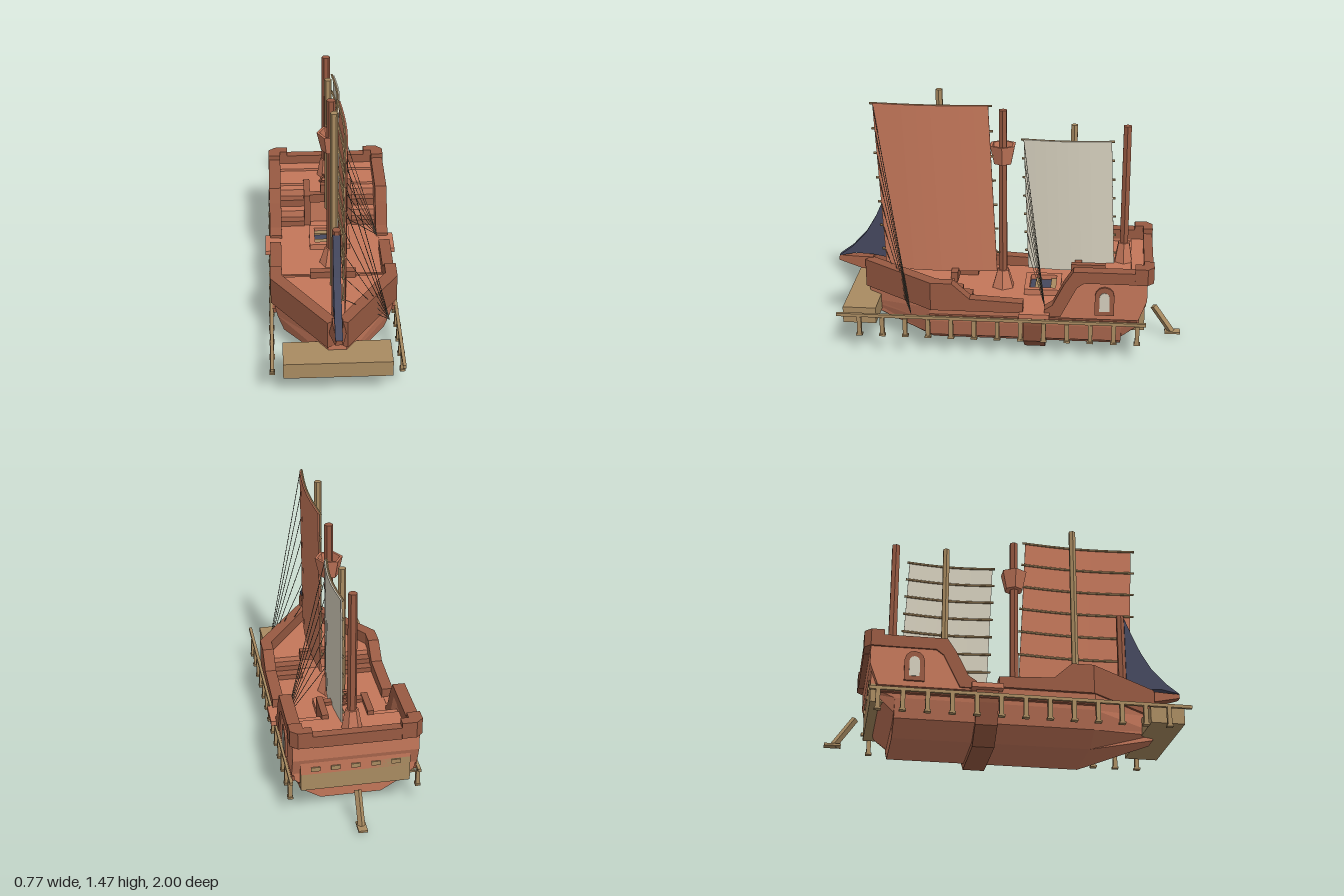
import * as THREE from 'three';

const mat = (name, color, side = THREE.FrontSide) => {
  const m = new THREE.MeshStandardMaterial({ color, side });
  m.name = name;
  return m;
};

export function createModel() {
  const ship = new THREE.Group();
  ship.name = 'sailingShip';
  const clay = mat('light brown wood', 0xc4775a);
  const dark = mat('dark brown wood', 0x985a42);
  const tan = mat('tan wood', 0xa98b61);
  const cream = mat('cream cloth', 0xd4cebc);
  const navy = mat('navy cloth', 0x45485e);
  const rope = mat('rope', 0x504d42);

  // Faceted normals, with the faces turned outwards
  const solid = (geo) => {
    const g = geo.index ? geo.toNonIndexed() : geo;
    const p = g.attributes.position;
    const a = new THREE.Vector3(), b = new THREE.Vector3(), c = new THREE.Vector3(), t = new THREE.Vector3();
    let vol = 0;
    for (let i = 0; i < p.count; i += 3) {
      a.fromBufferAttribute(p, i); b.fromBufferAttribute(p, i + 1); c.fromBufferAttribute(p, i + 2);
      vol += a.dot(t.crossVectors(b, c));
    }
    if (vol < 0) for (let i = 0; i < p.count; i += 3) {
      b.fromBufferAttribute(p, i + 1); c.fromBufferAttribute(p, i + 2);
      p.setXYZ(i + 1, c.x, c.y, c.z); p.setXYZ(i + 2, b.x, b.y, b.z);
    }
    g.computeVertexNormals();
    return g;
  };
  const add = (name, geo, m) => {
    const mesh = new THREE.Mesh(solid(geo), m);
    mesh.name = name;
    ship.add(mesh);
  };
  const pair = (name, geo, m) => {
    add(name + 'Left', geo.clone(), m);
    add(name + 'Right', geo.clone().scale(-1, 1, 1), m);
  };
  // Box from its limits
  const box = (x0, x1, y0, y1, z0, z1) => new THREE.BoxGeometry(x1 - x0, y1 - y0, z1 - z0)
    .translate((x0 + x1) / 2, (y0 + y1) / 2, (z0 + z1) / 2);
  const prism = (pts, lo, hi) => new THREE.ExtrudeGeometry(
    new THREE.Shape(pts.map(([u, v]) => new THREE.Vector2(u, v))), { depth: hi - lo, bevelEnabled: false }).translate(0, 0, lo);
  const remap = (g, f) => {
    const p = g.attributes.position;
    for (let i = 0; i < p.count; i++) p.setXYZ(i, ...f(p.getX(i), p.getY(i), p.getZ(i)));
    return g;
  };
  // Side profile [z, y] swept over x, and plan [x, z] swept over y
  const sideCut = (pts, x0, x1) => remap(prism(pts, x0, x1), (u, v, w) => [w, v, u]);
  const planCut = (pts, y0, y1) => remap(prism(pts, y0, y1), (u, v, w) => [u, w, v]);
  // Closed skin through equal rings of points
  const loft = (rings) => {
    const n = rings[0].length, idx = [], last = (rings.length - 1) * n;
    for (let r = 0; r < rings.length - 1; r++) for (let i = 0; i < n; i++) {
      const a = r * n + i, b = r * n + (i + 1) % n;
      idx.push(a, b, a + n, b, b + n, a + n);
    }
    for (let i = 1; i < n - 1; i++) idx.push(0, i + 1, i, last, last + i, last + i + 1);
    const g = new THREE.BufferGeometry();
    g.setAttribute('position', new THREE.Float32BufferAttribute(rings.flat(2), 3));
    g.setIndex(idx);
    return g;
  };
  const hullRing = (z, half) => [...half.map(([x, y]) => [x, y, z]), ...half.map(([x, y]) => [-x, y, z]).reverse()];
  const hex = (rTop, rBot, y0, y1, z) => new THREE.CylinderGeometry(rTop, rBot, y1 - y0, 6)
    .rotateY(Math.PI / 6).translate(0, (y0 + y1) / 2, z);
  const rod = (a, b, r, sides = 5) => {
    const A = new THREE.Vector3(...a), d = new THREE.Vector3(...b).sub(A);
    const q = new THREE.Quaternion().setFromUnitVectors(new THREE.Vector3(0, 1, 0), d.clone().normalize());
    const c = A.addScaledVector(d, 0.5);
    return new THREE.CylinderGeometry(r, r, d.length(), sides).applyQuaternion(q).translate(c.x, c.y, c.z);
  };

  // Hull
  const mid = [[0.17, 0.03], [0.285, 0.1], [0.32, 0.2], [0.338, 0.29]];
  add('hull', loft([
    hullRing(-0.75, [[0.22, 0.2], [0.31, 0.215], [0.33, 0.235], [0.338, 0.29]]),
    hullRing(-0.652, [[0.2, 0.1], [0.29, 0.13], [0.32, 0.2], [0.338, 0.29]]),
    hullRing(-0.65, mid), hullRing(0.43, mid),
    hullRing(0.82, [[0.045, 0.15], [0.047, 0.18], [0.05, 0.2], [0.05, 0.29]]),
  ]), clay);
  const rib = [[0.19, 0], [0.3, 0.085], [0.335, 0.2], [0.35, 0.27]];
  add('hullRib', loft([hullRing(-0.22, rib), hullRing(-0.1, rib)]), dark);
  pair('sidePlatform', box(0.3, 0.385, 0.265, 0.293, -0.25, -0.08), clay);

  // Decks
  add('foreDeck', planCut([[0.3, 0.31], [0.3, 0.42], [0.04, 0.8], [-0.04, 0.8], [-0.3, 0.42], [-0.3, 0.31]], 0.285, 0.38), clay);
  add('aftDeck', planCut([[0.3, -0.55], [0.3, -0.78], [-0.3, -0.78], [-0.3, -0.55], [-0.14, -0.55],
    [-0.14, -0.4], [0.14, -0.4], [0.14, -0.55]], 0.28, 0.475), clay);
  pair('aftHullSide', sideCut([[-0.24, 0.26], [-0.3, 0.29], [-0.42, 0.49], [-0.79, 0.49], [-0.79, 0.38], [-0.745, 0.26]], 0.285, 0.345), clay);
  add('transom', sideCut([[-0.7, 0.26], [-0.7, 0.49], [-0.79, 0.49], [-0.79, 0.38], [-0.745, 0.26]], -0.286, 0.286), clay);

  // Bulwarks
  pair('foreBulwark', loft([
    [-0.1, 0.355, 0.29, 0.345], [0.2, 0.355, 0.29, 0.36], [0.3, 0.355, 0.29, 0.45],
    [0.42, 0.355, 0.29, 0.45], [0.84, 0.055, 0, 0.45],
  ].map(([z, xo, xi, y], i) => [[xo, 0.285, z], [xo, y, z], [xi, y, z - (i > 2 ? 0.03 : 0)], [xi, 0.285, z - (i > 2 ? 0.03 : 0)]])), dark);
  pair('aftBulwark', sideCut([[-0.22, 0.27], [-0.22, 0.31], [-0.265, 0.34], [-0.33, 0.47], [-0.38, 0.547],
    [-0.74, 0.547], [-0.74, 0.48], [-0.44, 0.48], [-0.4, 0.45], [-0.31, 0.27]], 0.285, 0.355), dark);
  pair('sternCorner', planCut([[0.285, -0.72], [0.358, -0.72], [0.358, -0.79], [0.32, -0.825], [0.24, -0.825],
    [0.24, -0.77], [0.285, -0.77]], 0.48, 0.575), dark);
  add('sternRail', box(-0.24, 0.24, 0.475, 0.545, -0.822, -0.77), dark);

  // Stairs and deck beams
  for (let i = 0; i < 4; i++)
    pair('aftStep', box(0.145, 0.29, 0.285, 0.325 + i * 0.045, -0.55, -0.35 - i * 0.05), i % 2 ? clay : dark);
  for (let i = 0; i < 2; i++)
    pair('foreStep', box(0.13, 0.29, 0.285, 0.32 + i * 0.03, 0.2 + i * 0.055, 0.312), dark);
  pair('stairWall', box(0.108, 0.145, 0.285, 0.5, -0.555, -0.36), dark);
  add('aftBeam', box(-0.11, 0.11, 0.44, 0.495, -0.42, -0.38), dark);
  add('foreBeam', box(-0.13, 0.13, 0.36, 0.42, 0.29, 0.33), dark);

  // Helm
  add('helmStand', box(-0.045, 0.045, 0.47, 0.55, -0.435, -0.4), dark);
  add('helmWheel', new THREE.TorusGeometry(0.042, 0.008, 4, 10).translate(0, 0.545, -0.46), dark);
  for (let i = 0; i < 3; i++) {
    const x = 0.055 * Math.cos(i * Math.PI / 3), y = 0.055 * Math.sin(i * Math.PI / 3);
    add('helmSpoke', rod([-x, 0.545 - y, -0.46], [x, 0.545 + y, -0.46], 0.005), dark);
  }

  // Hatch
  pair('hatchSide', box(0.088, 0.12, 0.285, 0.325, -0.3, -0.09), clay);
  add('hatchFront', box(-0.09, 0.09, 0.285, 0.325, -0.12, -0.09), clay);
  add('hatchBack', box(-0.09, 0.09, 0.285, 0.325, -0.3, -0.27), clay);
  add('hatchOpening', box(-0.09, 0.09, 0.288, 0.296, -0.27, -0.12), navy);
  for (const z of [-0.255, -0.165]) add('hatchLadder', box(-0.088, 0.088, 0.29, 0.305, z - 0.016, z + 0.016), tan);

  // Arched windows
  const arch = (w, y0, y1) => {
    const pts = [[-0.555 - w, y0], [-0.555 + w, y0]];
    for (let i = 0; i <= 6; i++) pts.push([-0.555 + w * Math.cos(i * Math.PI / 6), y1 - w + w * Math.sin(i * Math.PI / 6)]);
    return pts;
  };
  pair('windowFrame', sideCut(arch(0.054, 0.29, 0.46), 0.34, 0.358), dark);
  pair('windowPane', sideCut(arch(0.028, 0.315, 0.428), 0.355, 0.362), cream);

  // Side rails with pegs
  pair('sideRail', box(0.343, 0.361, 0.228, 0.246, -0.79, 0.96), tan);
  pair('railBacking', box(0.315, 0.347, 0.222, 0.25, -0.74, 0.43), dark);
  for (let i = 0; i < 13; i++) {
    const z = 0.83 - i * 0.131;
    pair('peg', box(0.343, 0.365, 0.12, 0.228, z - 0.012, z + 0.012), tan);
    pair('pegFoot', box(0.339, 0.369, 0.115, 0.126, z - 0.018, z + 0.018), tan);
  }

  // Bow platform, stern gallery, steering oar and bowsprit
  add('bowPlatform', box(-0.295, 0.295, 0.16, 0.255, 0.745, 0.935), tan);
  add('sternGallery', box(-0.3, 0.3, 0.18, 0.33, -0.78, -0.71), tan);
  for (let i = -2; i <= 2; i++) add('galleryBlock', box(i * 0.11 - 0.025, i * 0.11 + 0.025, 0.3, 0.325, -0.787, -0.775), tan);
  add('steeringOar', rod([0, 0.19, -0.84], [0, 0.03, -0.95], 0.02, 4), tan);
  add('oarFoot', box(-0.025, 0.025, 0.024, 0.036, -1, -0.91), tan);
  const spritRing = (z, w, y0, y1) => [[-w, y0, z], [w, y0, z], [w * 0.6, y1, z], [-w * 0.6, y1, z]];
  add('bowsprit', loft([spritRing(0.8, 0.045, 0.385, 0.455), spritRing(0.86, 0.045, 0.39, 0.455), spritRing(1, 0.022, 0.428, 0.455)]), dark);

  // Masts and lookout
  add('mainMast', hex(0.025, 0.027, 0.29, 1.36, 0.04), dark);
  add('mainMastBase', hex(0.036, 0.07, 0.285, 0.395, 0.04), clay);
  add('rearMast', hex(0.025, 0.027, 0.47, 1.285, -0.655), dark);
  add('rearMastBase', hex(0.036, 0.058, 0.47, 0.59, -0.655), clay);
  add('foreMast', hex(0.024, 0.026, 0.375, 0.93, 0.67), dark);
  const nest = [[0, 1.05], [0.055, 1.05], [0.08, 1.16], [0.064, 1.16], [0.048, 1.07], [0, 1.07]];
  add('lookout', new THREE.LatheGeometry(nest.map(([x, y]) => new THREE.Vector2(x, y)), 6)
    .rotateY(Math.PI / 6).translate(0, 0, 0.04), clay);

  // Cambered sails with yard pole, battens and sheets
  const battenSail = (name, m, s) => {
    const edge = (t, y) => {
      const k = (y - s.y0) / (s.y1 - s.y0);
      return THREE.MathUtils.lerp(s.bottom[0] + (s.top[0] - s.bottom[0]) * k, s.bottom[1] + (s.top[1] - s.bottom[1]) * k, t);
    };
    const camber = (t) => 0.043 + 0.02 * Math.sin(Math.PI * t);
    add(name, remap(new THREE.BoxGeometry(0.008, s.y1 - s.y0, 1, 1, 1, 8), (x, y, z) => {
      const yy = y + (s.y0 + s.y1) / 2;
      return [x + camber(z + 0.5), yy, edge(z + 0.5, yy)];
    }), m);
    add(name + 'Pole', hex(0.021, 0.021, s.y0 - 0.02, s.pole[1], s.pole[0]), tan);
    for (let i = 0; i < s.count; i++) {
      const y = s.y1 - 0.004 - i * s.gap;
      const pts = [-0.03, 0.25, 0.5, 0.75, 1.03].map((t) => new THREE.Vector3(camber(t) - 0.009, y, edge(t, y)));
      add(name + 'Batten', new THREE.TubeGeometry(new THREE.CatmullRomCurve3(pts), 8, 0.007, 5), tan);
      add(name + 'Sheet', rod([0.043, y, edge(1, y)], s.anchor, 0.002, 4), rope);
    }
  };
  battenSail('mainSail', clay, { y0: 0.4, y1: 1.395, bottom: [0.07, 0.715], top: [0.118, 0.765], pole: [0.395, 1.472],
    count: 7, gap: 0.146, anchor: [0.305, 0.235, 0.54] });
  battenSail('rearSail', cream, { y0: 0.43, y1: 1.205, bottom: [-0.603, -0.11], top: [-0.57, -0.08], pole: [-0.36, 1.285],
    count: 7, gap: 0.111, anchor: [0.29, 0.3, -0.22] });

  // Triangular foresail
  add('foreSail', sideCut([[1, 0.455], [0.92, 0.515], [0.84, 0.6], [0.78, 0.7], [0.735, 0.8], [0.69, 0.91],
    [0.69, 0.45], [0.8, 0.47], [0.9, 0.475]], -0.02, 0.02), navy);

  return ship;
}
